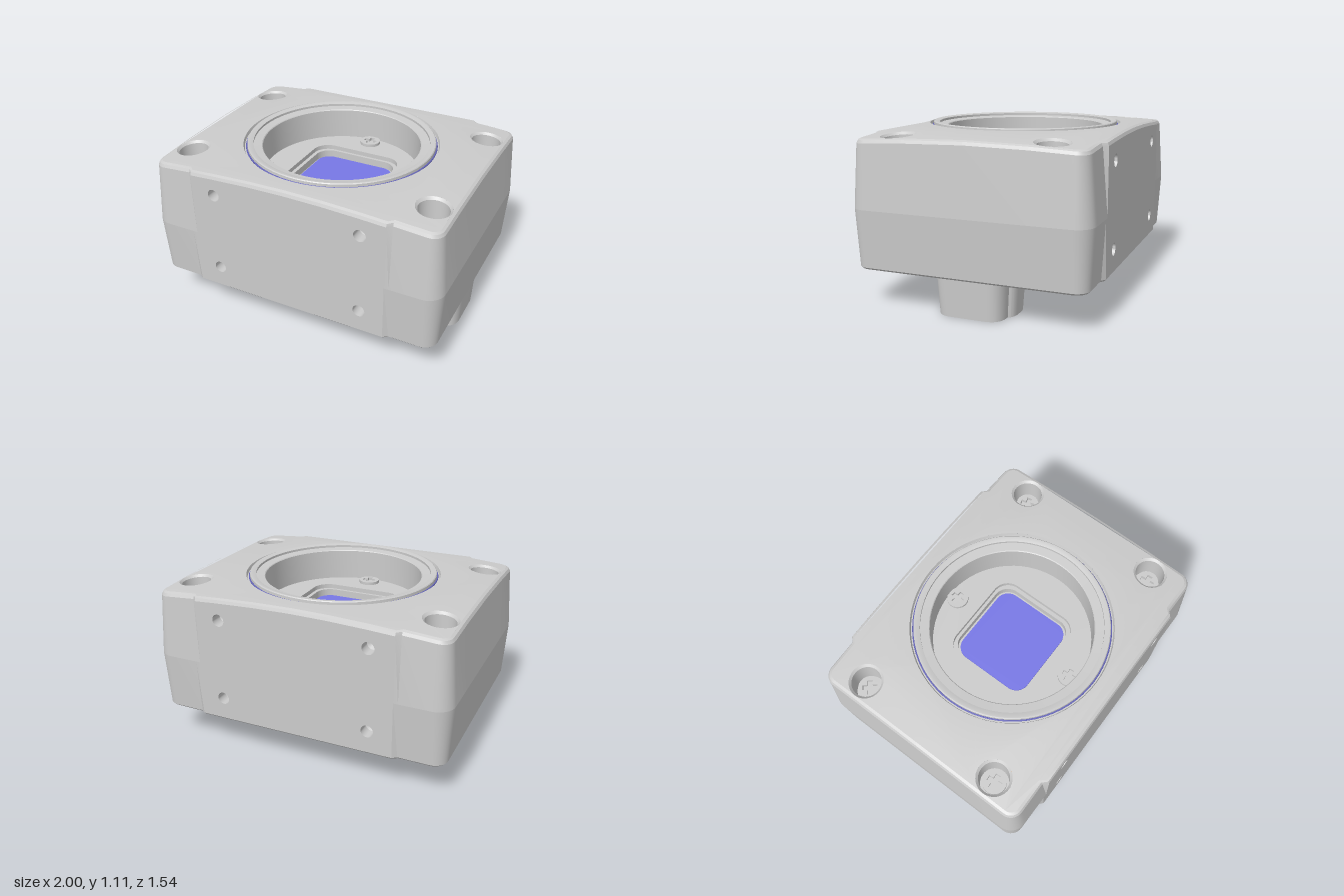
import * as THREE from 'three';
import { toCreasedNormals, mergeVertices } from 'three/addons/utils/BufferGeometryUtils.js';

const HX = 1, HZ = 0.77, R = 0.11, PANEL = 0.66, MID = 0.62, BASE = 0.24;
const grey = new THREE.MeshStandardMaterial({ color: 0xcccccc });
const paint = (color) => new THREE.MeshStandardMaterial({ color });
const V2 = (p) => new THREE.Vector2(p[0], p[1]);

function add(parent, name, geometry, material = grey) {
  const mesh = new THREE.Mesh(geometry, material);
  mesh.name = name;
  parent.add(mesh);
  return mesh;
}

// Height of the gently domed top
const topY = (x, z) => 1.095 - 0.1 * Math.max(0, Math.hypot(x, z) - 0.7);

// Rounded rectangle centred on cx, cy
function roundRect(hx, hy, r, cx = 0, cy = 0, Type = THREE.Shape) {
  const s = new Type();
  [[1, 1], [-1, 1], [-1, -1], [1, -1]].forEach(([sx, sy], i) =>
    s.absarc(cx + sx * (hx - r), cy + sy * (hy - r), r, i * Math.PI / 2, (i + 1) * Math.PI / 2, false));
  s.closePath();
  return s;
}
const circle = (r, x = 0, y = 0, Type = THREE.Path) => new Type().absarc(x, y, r, 0, Math.PI * 2, false);
const withHoles = (shape, ...holes) => { shape.holes.push(...holes); return shape; };
// Upright slab from a plan shape: top face at y
const slab = (shape, depth, y) => toCreasedNormals(new THREE.ExtrudeGeometry(shape,
  { depth, bevelEnabled: false, curveSegments: 24 }).rotateX(-Math.PI / 2).translate(0, y - depth, 0), 0.5);
const lathe = (pts, n = 40) => toCreasedNormals(new THREE.LatheGeometry(pts.map(V2), n), 0.4);

// Plan outline as points with outward normals, from +x towards +z
function outline() {
  const out = [];
  const xs = [0.86, 0.69, PANEL, 0.5, 0.25, 0, -0.25, -0.5, -PANEL, -0.69, -0.86];
  const arc = (cx, cz, a0) => {
    for (let i = 0; i <= 8; i++) {
      const a = a0 + i * Math.PI / 16, c = Math.cos(a), s = Math.sin(a);
      out.push({ x: cx + R * c, z: cz + R * s, nx: c, nz: s });
    }
  };
  const run = (list, s) => list.forEach((x) => out.push({
    x, z: s * HZ, nx: 0, nz: s, panel: Math.abs(x) <= PANEL }));
  const side = (s) => [-0.4, 0, 0.4].forEach((z) => out.push({ x: s * HX, z: -s * -z, nx: s, nz: 0 }));
  arc(HX - R, HZ - R, 0);
  run(xs, 1);
  arc(R - HX, HZ - R, Math.PI / 2);
  side(-1);
  arc(R - HX, R - HZ, Math.PI);
  run([...xs].reverse(), -1);
  arc(HX - R, R - HZ, 1.5 * Math.PI);
  side(1);
  return out;
}
const OUT = outline();

// One ring of the shell: draft leans the ends in, edge rounds the rim, drop is measured from the dome
function ring({ y, drop, draft, edge }) {
  return OUT.map((p) => {
    const d = (p.panel ? 0 : draft) + edge;
    const x = p.x - p.nx * d, z = p.z - p.nz * d;
    return [x, drop === undefined ? y : topY(x, z) - drop, z];
  });
}

// Skin between rings, left open where the flat front and back panels go
function shell(levels) {
  const n = OUT.length, pos = levels.flatMap((l) => ring(l).flat()), idx = [];
  for (let k = 0; k < levels.length - 1; k++) {
    for (let i = 0; i < n; i++) {
      const j = (i + 1) % n;
      if (OUT[i].panel && OUT[j].panel && levels[k].edge === 0 && levels[k + 1].edge === 0) continue;
      const a = k * n + i, b = k * n + j, c = b + n, d = a + n;
      idx.push(a, d, c, a, c, b);
    }
  }
  const g = new THREE.BufferGeometry();
  g.setAttribute('position', new THREE.Float32BufferAttribute(pos, 3));
  g.setIndex(idx);
  return toCreasedNormals(mergeVertices(g), 0.4);
}

// Cross-head screw with its top at the origin
function screw(r, turn) {
  const g = new THREE.Group();
  const a = r * 0.22, b = r * 0.62;
  const cross = new THREE.Path([[b, a], [a, a], [a, b], [-a, b], [-a, a], [-b, a], [-b, -a], [-a, -a],
    [-a, -b], [a, -b], [a, -a], [b, -a]].map(V2));
  add(g, 'screwHead', slab(withHoles(circle(r, 0, 0, THREE.Shape), cross), 0.03, 0));
  add(g, 'screwCore', new THREE.CylinderGeometry(r * 0.95, r * 0.95, 0.02, 24).translate(0, -0.035, 0));
  g.rotation.y = turn;
  return g;
}

export function createModel() {
  const model = new THREE.Group();
  const body = new THREE.Group();
  body.name = 'housing';
  model.add(body);

  // Drafted walls, widest at mid height
  const rim = { drop: 0, draft: 0.03, edge: 0.025 };
  const foot = { y: BASE, draft: 0.022, edge: 0.012 };
  add(body, 'lowerWall', shell([foot, { y: BASE + 0.012, draft: 0.022, edge: 0 }, { y: MID, draft: 0, edge: 0 }]));
  add(body, 'upperWall', shell([{ y: MID, draft: 0, edge: 0 }, { drop: 0.025, draft: 0.028, edge: 0 },
    { drop: 0.007, draft: 0.03, edge: 0.008 }, rim]));

  // Domed top with the bore and four screw wells cut out
  const wells = [-1, 1].flatMap((sx) => [-1, 1].map((sz) => [sx * 0.835, sz * 0.495]));
  const topShape = withHoles(new THREE.Shape(ring(rim).map(([x, , z]) => new THREE.Vector2(x, -z))),
    circle(0.645), ...wells.map(([x, z]) => circle(0.11, x, -z)));
  const top = new THREE.ShapeGeometry(topShape, 32).rotateX(-Math.PI / 2);
  const p = top.attributes.position, nrm = top.attributes.normal;
  for (let i = 0; i < p.count; i++) {
    const x = p.getX(i), z = p.getZ(i), r = Math.hypot(x, z), s = r > 0.7 ? 0.1 / r : 0;
    p.setY(i, topY(x, z));
    const n = new THREE.Vector3(s * x, 1, s * z).normalize();
    nrm.setXYZ(i, n.x, n.y, n.z);
  }
  add(body, 'topFace', top);

  // Underside with a pocket for the socket
  const base = withHoles(new THREE.Shape(ring(foot).map(([x, , z]) => new THREE.Vector2(x, z))),
    roundRect(0.2, 0.06, 0.005, -0.525, 0.435, THREE.Path));
  add(body, 'underside', new THREE.ShapeGeometry(base).rotateX(Math.PI / 2).translate(0, BASE, 0));
  add(body, 'labelPlate', slab(roundRect(0.62, 0.295, 0.05, -0.17, 0.33), 0.01, BASE + 0.005));

  // Flat front and back panels with blind mounting holes
  for (const side of [0, 1]) {
    const panel = new THREE.Group();
    panel.name = side ? 'backPanel' : 'frontPanel';
    panel.rotation.y = side * Math.PI;
    const edge = [-PANEL, -0.5, -0.25, 0, 0.25, 0.5, PANEL].map((x) => [x, topY(x, HZ) - 0.025]).reverse();
    const holes = [-0.5, 0.5].flatMap((x) => [0.395, 0.935].map((y) => [x, y]));
    const face = withHoles(new THREE.Shape([[-PANEL, BASE + 0.012], [PANEL, BASE + 0.012], ...edge].map(V2)),
      ...holes.map(([x, y]) => circle(0.04, x, y)));
    add(panel, 'panelFace', new THREE.ShapeGeometry(face, 16).translate(0, 0, HZ));
    holes.forEach(([x, y]) => add(panel, 'mountingHole',
      lathe([[0.04, 0], [0.04, -0.08], [0, -0.1]], 32).rotateX(Math.PI / 2).translate(x, y, HZ)));
    body.add(panel);
  }

  // Corner screws in their wells
  wells.forEach(([x, z], i) => {
    const well = lathe([[0.11, 0], [0.095, -0.015], [0.09, -0.18], [0, -0.18]]).translate(x, 0, z);
    const q = well.attributes.position;
    for (let k = 0; k < q.count; k++) q.setY(k, q.getY(k) + topY(q.getX(k), q.getZ(k)));
    add(body, 'screwWell', well);
    const s = screw(0.075, [0.7, 0.1, 0.25, 0.05][i]);
    s.name = 'cornerScrew';
    s.position.set(x, topY(x, z) - 0.13, z);
    model.add(s);
  });

  // Lens mount: groove, raised lip, ledge and bore
  add(model, 'lensMount', lathe([[0.645, 1.095], [0.638, 1.075], [0.622, 1.075], [0.62, 1.102], [0.615, 1.107],
    [0.605, 1.107], [0.58, 1.1], [0.58, 1.085], [0.525, 1.08], [0.52, 1.075], [0.52, 0.86]], 72));
  add(model, 'sealRing', new THREE.TorusGeometry(0.624, 0.006, 8, 72).rotateX(Math.PI / 2).translate(0, 1.08, 0),
    paint(0x6666bb));

  // Sensor and its stepped frame at the bottom of the bore
  add(model, 'boreFloor', slab(withHoles(circle(0.53, 0, 0, THREE.Shape),
    roundRect(0.315, 0.3, 0.11, 0, 0, THREE.Path)), 0.03, 0.87));
  add(model, 'sensorFrame', slab(withHoles(roundRect(0.34, 0.33, 0.1),
    roundRect(0.29, 0.28, 0.1, 0, 0, THREE.Path)), 0.05, 0.84));
  add(model, 'sensorBed', new THREE.BoxGeometry(0.66, 0.02, 0.64).translate(0, 0.78, 0));
  add(model, 'sensorGlass', slab(roundRect(0.277, 0.265, 0.09), 0.02, 0.8), paint(0x7777e6));
  for (const s of [-1, 1]) {
    const sc = screw(0.07, 0.1 * s);
    sc.name = 'frameScrew';
    sc.position.set(0, 0.89, s * 0.455);
    model.add(sc);
  }

  // Tapered connector foot with a port opening
  const f = new THREE.Shape();
  f.moveTo(0.612, -0.17);
  f.quadraticCurveTo(0.618, -0.252, 0.7, -0.252);
  f.lineTo(0.75, -0.252);
  f.quadraticCurveTo(0.815, -0.252, 0.83, -0.215);
  f.quadraticCurveTo(0.945, -0.215, 0.945, -0.11);
  f.lineTo(0.945, 0.11);
  f.quadraticCurveTo(0.945, 0.215, 0.83, 0.215);
  f.quadraticCurveTo(0.815, 0.252, 0.75, 0.252);
  f.lineTo(0.7, 0.252);
  f.quadraticCurveTo(0.618, 0.252, 0.612, 0.17);
  f.closePath();
  f.holes.push(roundRect(0.075, 0.18, 0.065, 0.775, 0, THREE.Path));
  const footGeo = new THREE.ExtrudeGeometry(f, { depth: 0.245, bevelEnabled: false, curveSegments: 10 })
    .rotateX(-Math.PI / 2);
  const q = footGeo.attributes.position;
  for (let i = 0; i < q.count; i++) {
    const k = 1 + 0.065 * q.getY(i) / 0.245;
    q.setX(i, 0.78 + (q.getX(i) - 0.78) * k);
    q.setZ(i, q.getZ(i) * k);
  }
  add(model, 'connectorFoot', toCreasedNormals(footGeo, 0.5));
  const metal = paint(0xb4bce0);
  add(model, 'plugShell', new THREE.BoxGeometry(0.07, 0.15, 0.24).translate(0.775, 0.165, 0), metal);
  add(model, 'plugTongue', new THREE.BoxGeometry(0.035, 0.1, 0.17).translate(0.775, 0.09, 0), metal);

  // Status lamp and hollow socket underneath
  add(model, 'statusLamp', new THREE.SphereGeometry(0.065, 32, 20).translate(0, 0.258, 0.14), paint(0x00dd11));
  const orange = paint(0xd9a066);
  add(model, 'socketFrame', slab(withHoles(roundRect(0.205, 0.065, 0.005, -0.525, -0.435),
    roundRect(0.17, 0.042, 0.005, -0.525, -0.435, THREE.Path)), 0.09, 0.318), orange);
  add(model, 'socketFloor', new THREE.BoxGeometry(0.4, 0.02, 0.12).translate(-0.525, 0.31, 0.435), orange);
  return model;
}
